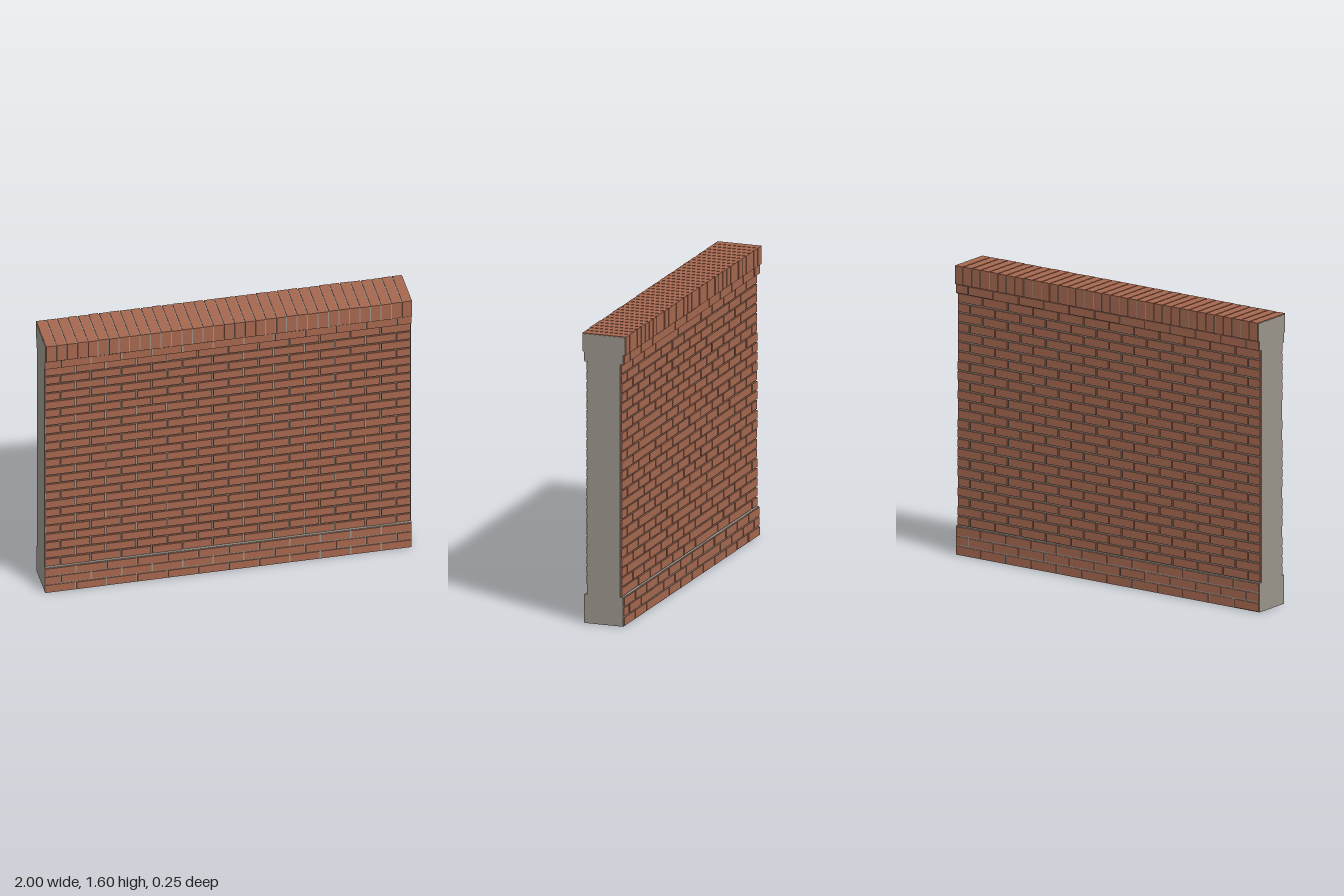
import * as THREE from 'three';
import { mergeGeometries } from 'three/addons/utils/BufferGeometryUtils.js';

// small seeded random for hand-laid unevenness
let seed = 7;
const rand = () => {
  seed = (seed * 16807) % 2147483647;
  return seed / 2147483647;
};
const jitter = (a) => (rand() * 2 - 1) * a;

// box from its limits in x and y, with half depth and a z shift
function block(x0, x1, y0, y1, halfDepth, dz = 0) {
  const g = new THREE.BoxGeometry(x1 - x0, y1 - y0, halfDepth * 2);
  g.translate((x0 + x1) / 2, (y0 + y1) / 2, dz);
  return g;
}

export function createModel() {
  seed = 7;
  const brick = new THREE.MeshStandardMaterial({ color: 0xa5674f });
  brick.name = 'brick';
  const mortar = new THREE.MeshStandardMaterial({ color: 0x9a948a });
  mortar.name = 'mortar';

  const wall = new THREE.Group();
  wall.name = 'brickWall';
  const add = (name, geometry, material) => {
    const mesh = new THREE.Mesh(geometry, material);
    mesh.name = name;
    wall.add(mesh);
  };

  const courses = 28, perCourse = 12, gap = 0.008;
  const capBase = 1.497, rowH = capBase / courses, pitch = 2 / perCourse;

  // tiers of the wall: course range, core and brick half depths
  const tiers = [
    { name: 'plinth', from: 0, to: 3, core: 0.11, face: 0.115 },
    { name: 'body', from: 3, to: 27, core: 0.093, face: 0.101 },
    { name: 'corbel', from: 27, to: 28, core: 0.11, face: 0.116 },
  ];

  for (const t of tiers) {
    add(t.name + 'Mortar', block(-1, 1, t.from * rowH, t.to * rowH, t.core), mortar);

    // running bond: odd courses shift by half a brick
    const bricks = [];
    for (let r = t.from; r < t.to; r++) {
      const shift = r % 2 ? pitch / 2 : 0;
      for (let i = 0; i <= perCourse; i++) {
        const x0 = Math.max(-1, -1 + i * pitch - shift);
        const x1 = Math.min(1, -1 + (i + 1) * pitch - shift);
        if (x1 - x0 < 0.02) continue;
        bricks.push(block(x0 + gap / 2, x1 - gap / 2,
          r * rowH + gap / 2, (r + 1) * rowH - gap / 2, t.face, jitter(0.0015)));
      }
    }
    add(t.name + 'Bricks', mergeGeometries(bricks), brick);
  }

  // cap: upright bricks laid across the whole wall
  add('capMortar', block(-1, 1, capBase, 1.596, 0.121), mortar);
  const capBricks = [];
  const count = 35, step = 2 / count;
  for (let i = 0; i < count; i++) {
    const x = -1 + i * step;
    capBricks.push(block(x + 0.003, x + step - 0.003,
      capBase + 0.003, 1.6, 0.125, jitter(0.002)));
  }
  add('capBricks', mergeGeometries(capBricks), brick);

  return wall;
}
